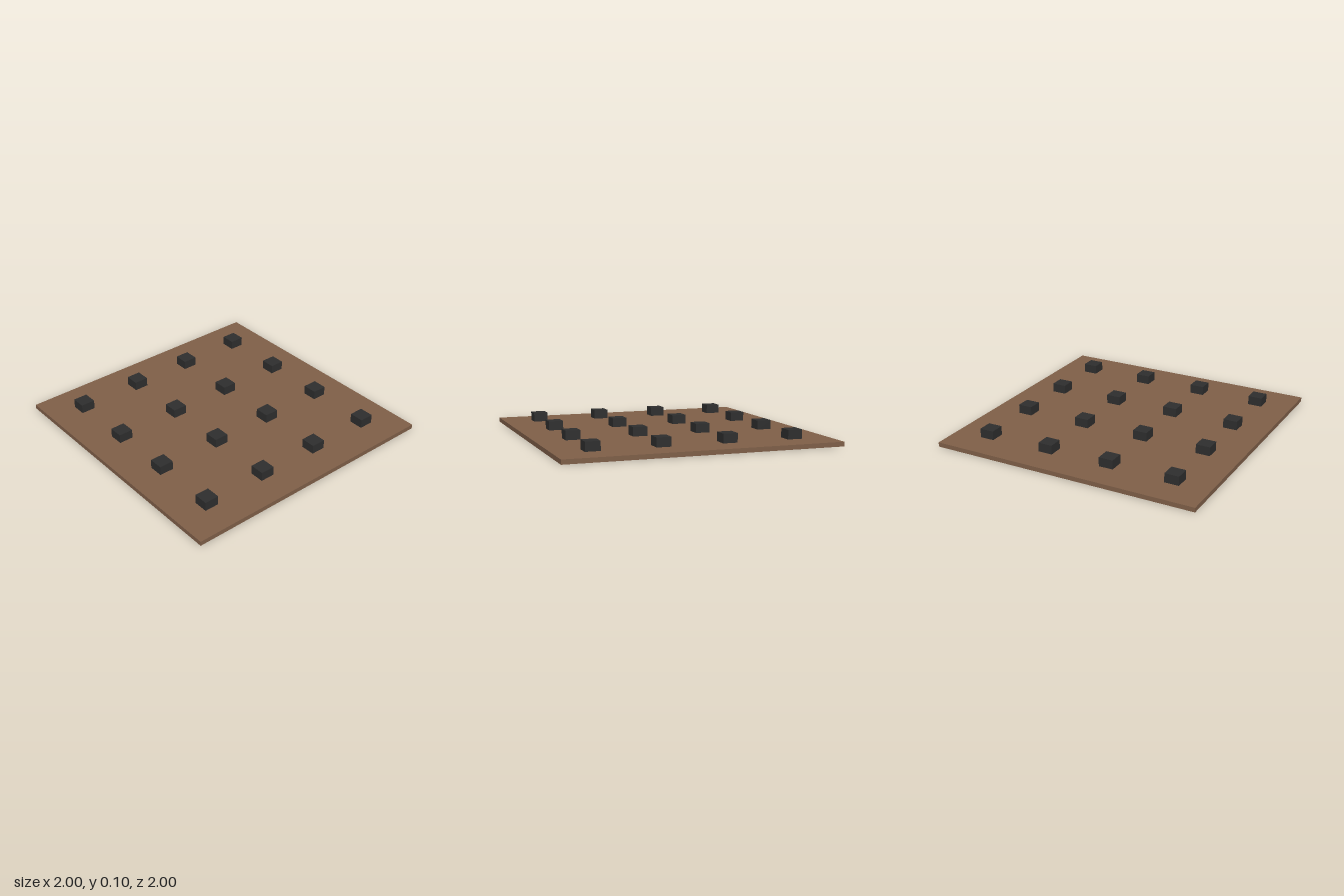
import * as THREE from 'three';

export function createModel() {
  const model = new THREE.Group();
  model.name = 'studdedBoard';

  const brown = new THREE.MeshStandardMaterial({ color: 0x7f5f48 });
  brown.name = 'brown wood';
  const charcoal = new THREE.MeshStandardMaterial({ color: 0x2e2e2e });
  charcoal.name = 'charcoal';

  // Thin square board
  const thickness = 0.033;
  const board = new THREE.Mesh(new THREE.BoxGeometry(2, thickness, 2), brown);
  board.name = 'board';
  board.position.y = thickness / 2;
  model.add(board);

  // Four by four grid of blocks standing on the board
  const blocks = new THREE.Group();
  blocks.name = 'blocks';
  const size = 0.107, height = 0.067;
  const blockGeometry = new THREE.BoxGeometry(size, height, size);
  const stations = [-0.733, -0.241, 0.241, 0.733];
  for (const x of stations) {
    for (const z of stations) {
      const block = new THREE.Mesh(blockGeometry, charcoal);
      block.name = 'block';
      block.position.set(x, thickness + height / 2, z);
      blocks.add(block);
    }
  }
  model.add(blocks);

  return model;
}
